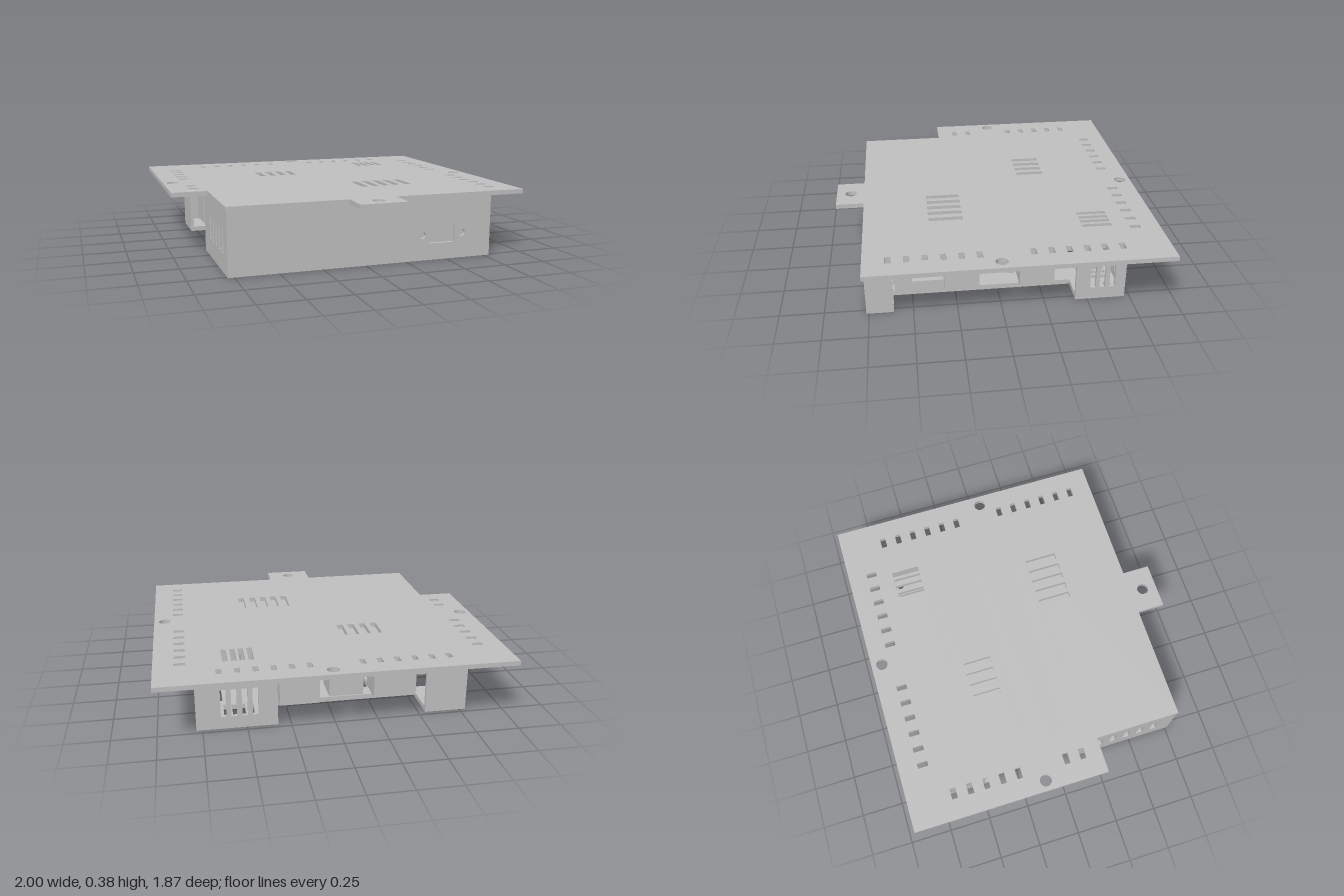
import * as THREE from 'three';

const grey = new THREE.MeshStandardMaterial({ color: 0xbfbfbf });
grey.name = 'sheet metal grey';

// rectangle and circle cut-outs
function rect(cx, cy, w, h) {
  return new THREE.Path([[-1, -1], [1, -1], [1, 1], [-1, 1]].map(
    ([a, b]) => new THREE.Vector2(cx + a * w / 2, cy + b * h / 2)));
}
function disc(cx, cy, r) {
  return new THREE.Path().absarc(cx, cy, r, 0, Math.PI * 2, true);
}

// extruded sheet: outline in its own plane, thickness along local z
function sheet(name, outline, holes, depth) {
  const shape = new THREE.Shape(outline.map(([a, b]) => new THREE.Vector2(a, b)));
  shape.holes.push(...holes);
  const geo = new THREE.ExtrudeGeometry(shape, { depth, bevelEnabled: false, curveSegments: 12 });
  const mesh = new THREE.Mesh(geo, grey);
  mesh.name = name;
  return mesh;
}

// horizontal sheet, given in (x, z), rising from y
function flat(name, outline, holes, y, depth) {
  const m = sheet(name, outline.map(([x, z]) => [x, -z]), holes, depth);
  m.geometry.rotateX(-Math.PI / 2);
  m.position.y = y;
  return m;
}
const slotXZ = (x, z, w, d) => rect(x, -z, w, d);
const discXZ = (x, z, r) => disc(x, -z, r);

// upright outline with an opening cut from its lower edge
function arch(a, b, o1, o2) {
  return [[a, 0.03], [o1, 0.03], [o1, 0.33], [o2, 0.33], [o2, 0.03], [b, 0.03], [b, 0.36], [a, 0.36]];
}

function box(name, x1, x2, y1, y2, z1, z2) {
  const m = new THREE.Mesh(new THREE.BoxGeometry(x2 - x1, y2 - y1, z2 - z1), grey);
  m.position.set((x1 + x2) / 2, (y1 + y2) / 2, (z1 + z2) / 2);
  m.name = name;
  return m;
}

function cylinder(name, x, z, r, y1, y2) {
  const m = new THREE.Mesh(new THREE.CylinderGeometry(r, r, y2 - y1, 24), grey);
  m.position.set(x, (y1 + y2) / 2, z);
  m.name = name;
  return m;
}

// three groups of long cooling slots shared by cover and base
function vents() {
  const out = [];
  for (const x of [-0.335, -0.265, -0.195, -0.125]) out.push(slotXZ(x, -0.305, 0.038, 0.17));
  for (const x of [0.145, 0.215, 0.285, 0.355, 0.43]) out.push(slotXZ(x, 0.285, 0.038, 0.2));
  for (const x of [0.46, 0.51, 0.557, 0.607]) out.push(slotXZ(x, -0.575, 0.03, 0.17));
  return out;
}

export function createModel() {
  const g = new THREE.Group();
  g.name = 'electronicsEnclosure';

  // mounting cover with tab, corner notch, screw holes and edge slots
  const coverHoles = vents();
  for (const [x, z] of [[0.04, -0.87], [-0.94, -0.125], [0.935, 0.02], [0.04, 0.845]]) coverHoles.push(discXZ(x, z, 0.035));
  for (let i = 0; i < 6; i++) {
    coverHoles.push(slotXZ(-0.635 + i * 0.099, -0.79, 0.032, 0.062));
    coverHoles.push(slotXZ(0.155 + i * 0.099, -0.79, 0.032, 0.062));
    coverHoles.push(slotXZ(0.852, -0.66 + i * 0.099, 0.064, 0.034));
    coverHoles.push(slotXZ(0.852, 0.13 + i * 0.099, 0.064, 0.034));
    if (i < 5) coverHoles.push(slotXZ(-0.852, -0.66 + i * 0.099, 0.064, 0.034));
    if (i < 2) coverHoles.push(slotXZ(-0.852, 0.03 + i * 0.099, 0.064, 0.034));
  }
  g.add(flat('topCover', [[-1, -0.935], [-1, 0.245], [-0.79, 0.245], [-0.79, 0.765], [-0.1, 0.765], [-0.1, 0.932],
    [0.18, 0.932], [0.18, 0.765], [1, 0.765], [1, -0.935]], coverHoles, 0.358, 0.027));

  // base plate, notched on three sides
  const baseHoles = vents();
  for (const [x, z] of [[0.7, 0.69], [-0.62, 0.16], [-0.62, -0.64], [0.69, -0.64]]) baseHoles.push(discXZ(x, z, 0.022));
  baseHoles.push(discXZ(0.12, -0.14, 0.014), discXZ(0.08, 0.14, 0.016));
  for (let i = 0; i < 6; i++) {
    const a = i * Math.PI / 3;
    baseHoles.push(discXZ(0.12 + 0.045 * Math.cos(a), -0.14 + 0.045 * Math.sin(a), 0.014));
  }
  g.add(flat('basePlate', [[-0.785, 0.765], [0.785, 0.765], [0.785, 0.61], [0.62, 0.61], [0.62, -0.43], [0.785, -0.43],
    [0.785, -0.72], [0.325, -0.72], [0.325, -0.49], [-0.54, -0.49], [-0.54, -0.72], [-0.785, -0.72],
    [-0.785, -0.44], [-0.54, -0.44], [-0.54, 0.11], [-0.785, 0.11]], baseHoles, 0, 0.03));

  // front wall with connector cut-out and two screw holes
  const front = sheet('frontWall', [[-0.785, 0.03], [0.785, 0.03], [0.785, 0.36], [-0.785, 0.36]],
    [rect(0.475, 0.148, 0.16, 0.1), disc(0.348, 0.148, 0.02), disc(0.6, 0.148, 0.02)], 0.02);
  front.position.z = 0.745;
  g.add(front);
  g.add(box('connectorBody', 0.3, 0.65, 0.08, 0.33, 0.66, 0.735));

  // back wall
  const backHoles = [0.45, 0.51, 0.57, 0.63].flatMap(x => [rect(x, 0.157, 0.032, 0.165), rect(x, 0.33, 0.032, 0.048)]);
  const back = sheet('backWall', arch(-0.785, 0.785, -0.54, 0.325), backHoles, 0.02);
  back.position.z = -0.72;
  g.add(back);

  // side walls, outlined in (z, y)
  const sideHoles = [-0.53, -0.585, -0.642].flatMap(z => [rect(z, 0.157, 0.032, 0.165), rect(z, 0.33, 0.032, 0.048)]);
  const leftWall = sheet('leftWall', arch(-0.72, 0.765, -0.43, 0.61), sideHoles, 0.02);
  leftWall.geometry.rotateY(-Math.PI / 2);
  leftWall.position.x = 0.785;
  const slots = [0.285, 0.375, 0.465, 0.555, 0.645].map(z => rect(z, 0.18, 0.04, 0.14));
  const rightWall = sheet('rightWall', arch(-0.72, 0.765, -0.46, 0.11), slots, 0.02);
  rightWall.geometry.rotateY(-Math.PI / 2);
  rightWall.position.x = -0.765;
  g.add(leftWall, rightWall);

  // circuit board under the cover
  g.add(flat('circuitBoard', [[-0.76, 0.74], [0.76, 0.74], [0.76, -0.43], [0.36, -0.43], [0.36, -0.69], [-0.76, -0.69]],
    [], 0.322, 0.016));

  // components hanging from the board: x1, x2, y1, z1, z2
  const parts = [
    [0.56, 0.75, 0.1, 0.12, 0.32], [0.4, 0.58, 0.1, -0.09, 0.1], [0.56, 0.75, 0.1, -0.31, -0.11],
    [0.58, 0.75, 0.1, 0.5, 0.6], [0.3, 0.5, 0.1, -0.41, -0.2],
    [0.08, 0.31, 0.1, -0.69, -0.5], [-0.18, 0.02, 0.12, -0.66, -0.48], [-0.49, -0.24, 0.1, -0.68, -0.5],
    [-0.74, -0.58, 0.1, -0.42, -0.2], [-0.72, -0.58, 0.1, -0.16, 0.08],
  ];
  parts.forEach(([x1, x2, y1, z1, z2], i) => g.add(box('component' + (i + 1), x1, x2, y1, 0.325, z1, z2)));
  g.add(box('lowConnector', 0.5, 0.7, 0.06, 0.14, 0.28, 0.54));
  g.add(box('boardConnector', 0.42, 0.58, 0.05, 0.1, 0.42, 0.61));

  // standoffs and capacitor
  g.add(cylinder('standoff', -0.6, 0.165, 0.048, 0.03, 0.325));
  g.add(cylinder('capacitor', 0.66, -0.06, 0.035, 0.15, 0.325));
  return g;
}
